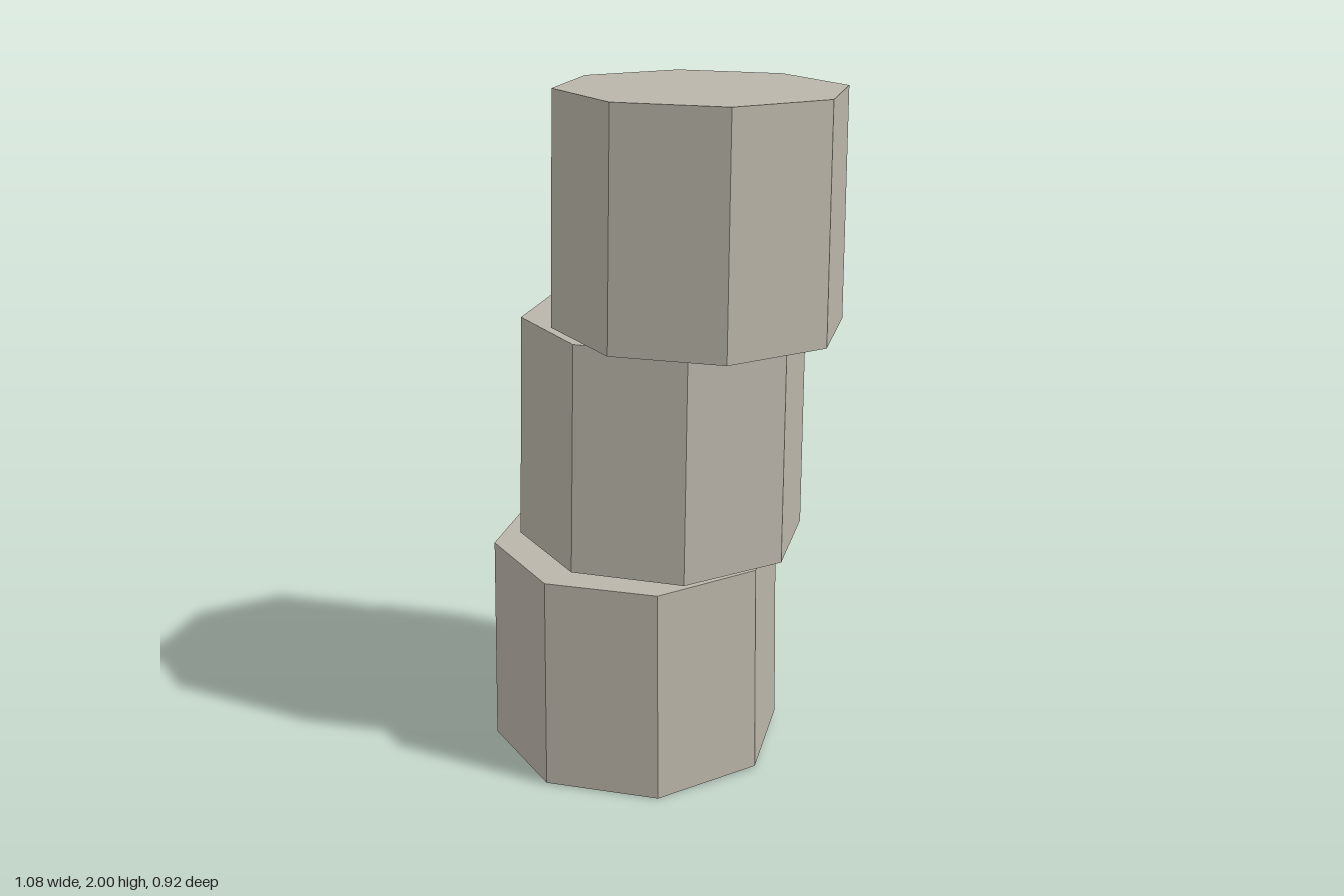
import * as THREE from 'three';

// Each drum: centre of its base and top, the radii there, and its turn in degrees
const DRUMS = [
  { name: 'lowerDrum', base: [-0.102, 0.018, 0.015], top: [-0.088, 0.656, 0.035], rBase: 0.44, rTop: 0.426, turn: -5.3 },
  { name: 'middleDrum', base: [-0.04, 0.669, -0.032], top: [-0.022, 1.332, -0.022], rBase: 0.427, rTop: 0.415, turn: -5.6 },
  { name: 'upperDrum', base: [0.122, 1.336, 0.036], top: [0.138, 1.987, 0.051], rBase: 0.415, rTop: 0.403, turn: -5 },
];

// Tapered eight-sided drum standing on a slightly leaning axis
function makeDrum({ name, base, top, rBase, rTop, turn }, material) {
  const a = new THREE.Vector3(...base);
  const b = new THREE.Vector3(...top);
  const axis = b.clone().sub(a);
  const geometry = new THREE.CylinderGeometry(
    rTop, rBase, axis.length(), 8, 1, false, THREE.MathUtils.degToRad(turn));
  const drum = new THREE.Mesh(geometry, material);
  drum.name = name;
  drum.position.copy(a).add(b).multiplyScalar(0.5);
  drum.quaternion.setFromUnitVectors(new THREE.Vector3(0, 1, 0), axis.normalize());
  return drum;
}

export function createModel() {
  const stone = new THREE.MeshStandardMaterial({ color: 0xbab5a9 });
  stone.name = 'paleStone';
  stone.flatShading = true;

  const column = new THREE.Group();
  column.name = 'stackedColumnDrums';
  for (const spec of DRUMS) column.add(makeDrum(spec, stone));
  return column;
}
